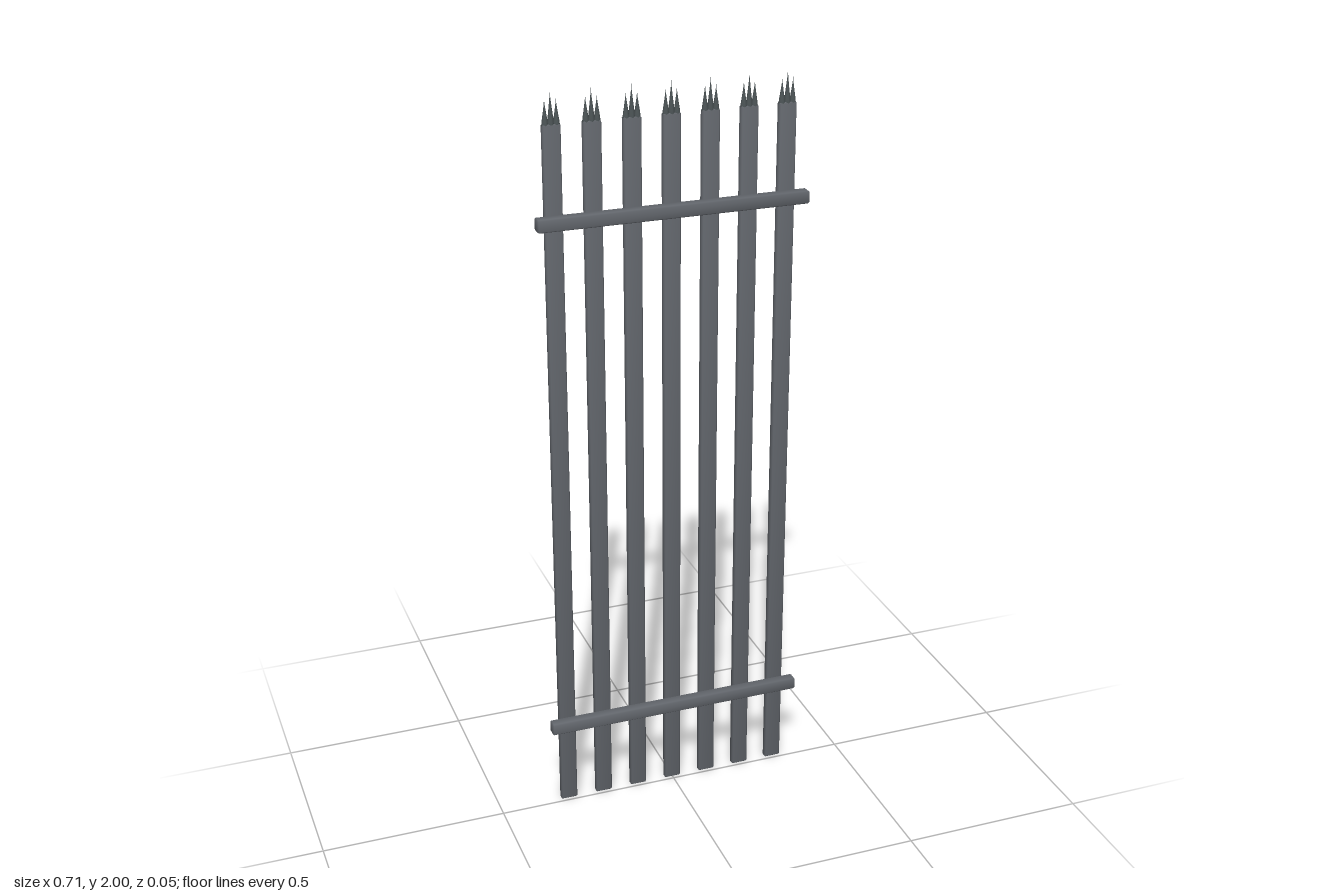
import * as THREE from 'three';
import { mergeVertices } from 'three/addons/utils/BufferGeometryUtils.js';
import { ConvexGeometry } from 'three/addons/geometries/ConvexGeometry.js';

// Box with chamfered edges; normals lean towards the corners for a rounded sheen
function softBox(w, h, d, c) {
  const pts = [];
  for (const x of [-1, 1]) for (const y of [-1, 1]) for (const z of [-1, 1]) {
    for (let axis = 0; axis < 3; axis++) {
      const inset = [c, c, c];
      inset[axis] = 0;
      pts.push(new THREE.Vector3(
        x * (w / 2 - inset[0]), y * (h / 2 - inset[1]), z * (d / 2 - inset[2])));
    }
  }
  const g = new ConvexGeometry(pts);
  g.deleteAttribute('normal');
  const merged = mergeVertices(g, 1e-5);
  merged.computeVertexNormals();
  const p = merged.attributes.position;
  const n = merged.attributes.normal;
  const lean = 0.2;
  for (let i = 0; i < p.count; i++) {
    n.setXYZ(i,
      n.getX(i) + lean * Math.sign(p.getX(i)),
      n.getY(i) + lean * Math.sign(p.getY(i)),
      n.getZ(i) + lean * Math.sign(p.getZ(i)));
  }
  merged.normalizeNormals();
  return merged;
}

// Slender thorn that narrows quickly, then runs to a fine point
function thorn(height) {
  const profile = [[0.009, 0], [0.0075, 0.2], [0.0042, 0.5], [0.0012, 0.8], [0, 1]]
    .map(([r, t]) => new THREE.Vector2(r, t * height));
  return new THREE.LatheGeometry(profile, 8);
}

export function createModel() {
  const model = new THREE.Group();
  model.name = 'picketFence';
  const steel = new THREE.MeshStandardMaterial({ color: 0x63676d });
  steel.name = 'grey steel';
  const dark = new THREE.MeshStandardMaterial({ color: 0x4c5456 });
  dark.name = 'dark spike steel';

  const add = (parent, name, geometry, material, x, y, z) => {
    const mesh = new THREE.Mesh(geometry, material);
    mesh.name = name;
    mesh.position.set(x, y, z);
    parent.add(mesh);
  };

  // Seven flat pickets, each crowned by three spikes
  const barGeo = softBox(0.046, 1.92, 0.018, 0.003);
  const tall = thorn(0.085);
  const short = thorn(0.066);
  for (let i = -3; i <= 3; i++) {
    const picket = new THREE.Group();
    picket.name = 'picket' + (i + 4);
    picket.position.set(i * 0.102, 0, -0.017);
    add(picket, 'bar', barGeo, steel, 0, 0.96, 0);
    for (const s of [-1, 0, 1]) {
      add(picket, 'spike', s ? short : tall, dark, s * 0.0145, 1.915, 0);
    }
    model.add(picket);
  }

  // Two cross rails on the front side
  const railGeo = softBox(0.714, 0.033, 0.03, 0.003);
  add(model, 'lowerRail', railGeo, steel, 0, 0.251, 0.009);
  add(model, 'upperRail', railGeo, steel, 0, 1.68, 0.009);
  return model;
}
